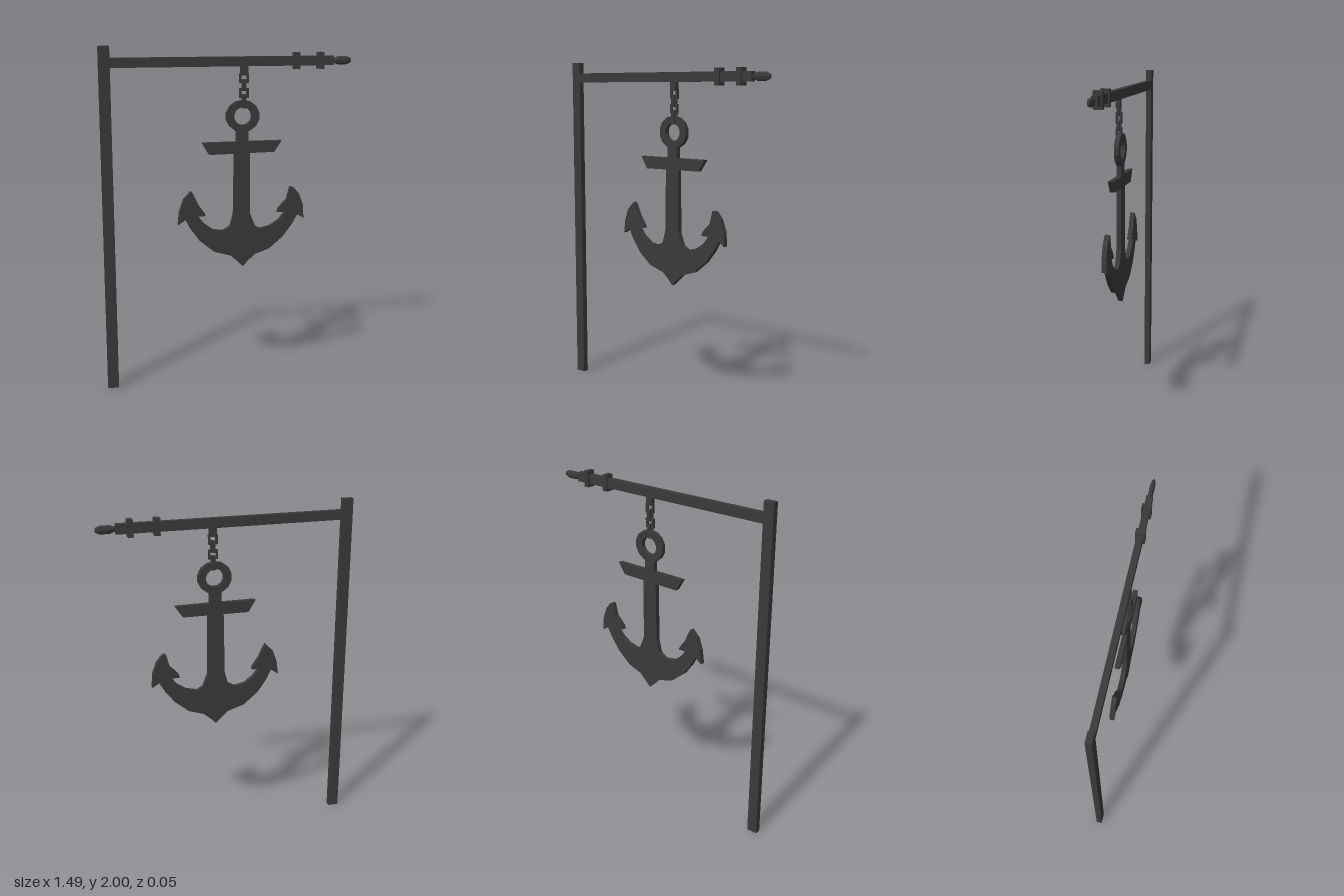
import * as THREE from 'three';

const iron = new THREE.MeshStandardMaterial({ color: 0x3a3a3a, flatShading: true });
iron.name = 'dark iron';

export function createModel() {
  const group = new THREE.Group();
  group.name = 'hangingAnchorSign';

  const add = (name, geometry, x = 0, y = 0, z = 0) => {
    const mesh = new THREE.Mesh(geometry, iron);
    mesh.name = name;
    mesh.position.set(x, y, z);
    group.add(mesh);
    return mesh;
  };
  // Box given by its front-view extents
  const bar = (name, x0, x1, y0, y1, depth, z = 0) =>
    add(name, new THREE.BoxGeometry(x1 - x0, y1 - y0, depth), (x0 + x1) / 2, (y0 + y1) / 2, z);
  const toPoints = (list) => list.map(([x, y]) => new THREE.Vector2(x, y));
  const plate = (shape, depth) =>
    new THREE.ExtrudeGeometry(shape, { depth, bevelEnabled: false }).translate(0, 0, -depth / 2);
  const ellipse = (rx, ry, n) => Array.from({ length: n }, (_, i) => {
    const a = ((i + 0.5) / n) * Math.PI * 2;
    return new THREE.Vector2(rx * Math.cos(a), ry * Math.sin(a));
  });

  // Post, beam and collars
  bar('post', -0.745, -0.683, 0, 2, 0.034);
  bar('beam', -0.683, 0.63, 1.88, 1.935, 0.034);
  bar('innerCollar', 0.388, 0.42, 1.86, 1.956, 0.052);
  bar('outerCollar', 0.536, 0.567, 1.86, 1.956, 0.052);

  // Faceted finial at the beam's end
  const finialProfile = toPoints([[0, 0], [0.013, 0], [0.024, 0.03], [0.024, 0.085], [0.013, 0.11], [0, 0.11]]);
  const finial = add('finial', new THREE.LatheGeometry(finialProfile, 8).rotateZ(-Math.PI / 2), 0.63, 1.907);
  finial.scale.z = 0.58;

  // Hanger and chain with alternating links
  bar('hanger', 0.066, 0.108, 1.83, 1.88, 0.024, 0.008);
  const link = (name, y0, y1, width, turned) => {
    const h = (y1 - y0) / 2, w = width / 2, t = 0.012;
    const rect = (a, b) => toPoints([[-a, -b], [a, -b], [a, b], [-a, b]]);
    const shape = new THREE.Shape(rect(w, h));
    shape.holes.push(new THREE.Path(rect(w - t, h - t)));
    const mesh = add(name, plate(shape, turned ? 0.022 : 0.014), 0.086, (y0 + y1) / 2, 0.006);
    if (turned) mesh.rotation.y = Math.PI / 2;
  };
  link('chainLink1', 1.785, 1.84, 0.055, false);
  link('chainLink2', 1.74, 1.805, 0.034, true);
  link('chainLink3', 1.70, 1.755, 0.055, false);
  link('chainLink4', 1.64, 1.72, 0.034, true);

  // Anchor ring
  const ring = new THREE.Shape(ellipse(0.1, 0.093, 14));
  ring.holes.push(new THREE.Path(ellipse(0.054, 0.052, 14)));
  add('anchorRing', plate(ring, 0.028), 0.08, 1.595);

  // Anchor stock, shank, arms and flukes
  add('anchorStock', plate(new THREE.Shape(toPoints([
    [-0.12, 1.376], [0.27, 1.38], [0.316, 1.447], [-0.163, 1.447],
  ])), 0.028));
  add('anchorBody', plate(new THREE.Shape(toPoints([
    [0.02, 1.53], [0.042, 1.505], [0.042, 1.41], [0.03, 1.38], [0.025, 1.02], [0.005, 0.945],
    [-0.04, 0.92], [-0.10, 0.93], [-0.155, 0.97], [-0.19, 1.015], [-0.147, 1.015], [-0.15, 1.03],
    [-0.19, 1.085], [-0.22, 1.15], [-0.23, 1.165], [-0.275, 1.12], [-0.3, 1.05], [-0.31, 0.97],
    [-0.265, 1.0], [-0.235, 0.94], [-0.18, 0.865], [-0.095, 0.795], [0.005, 0.765], [0.04, 0.735],
    [0.08, 0.695], [0.115, 0.73], [0.155, 0.765], [0.245, 0.795], [0.33, 0.865], [0.385, 0.935],
    [0.42, 0.995], [0.46, 0.97], [0.455, 1.05], [0.43, 1.12], [0.395, 1.162], [0.375, 1.165],
    [0.355, 1.09], [0.305, 1.04], [0.295, 1.015], [0.345, 1.015], [0.31, 0.97], [0.255, 0.935],
    [0.19, 0.92], [0.155, 0.94], [0.125, 1.015], [0.122, 1.38], [0.112, 1.41], [0.112, 1.505],
    [0.135, 1.53],
  ])), 0.028));

  return group;
}
